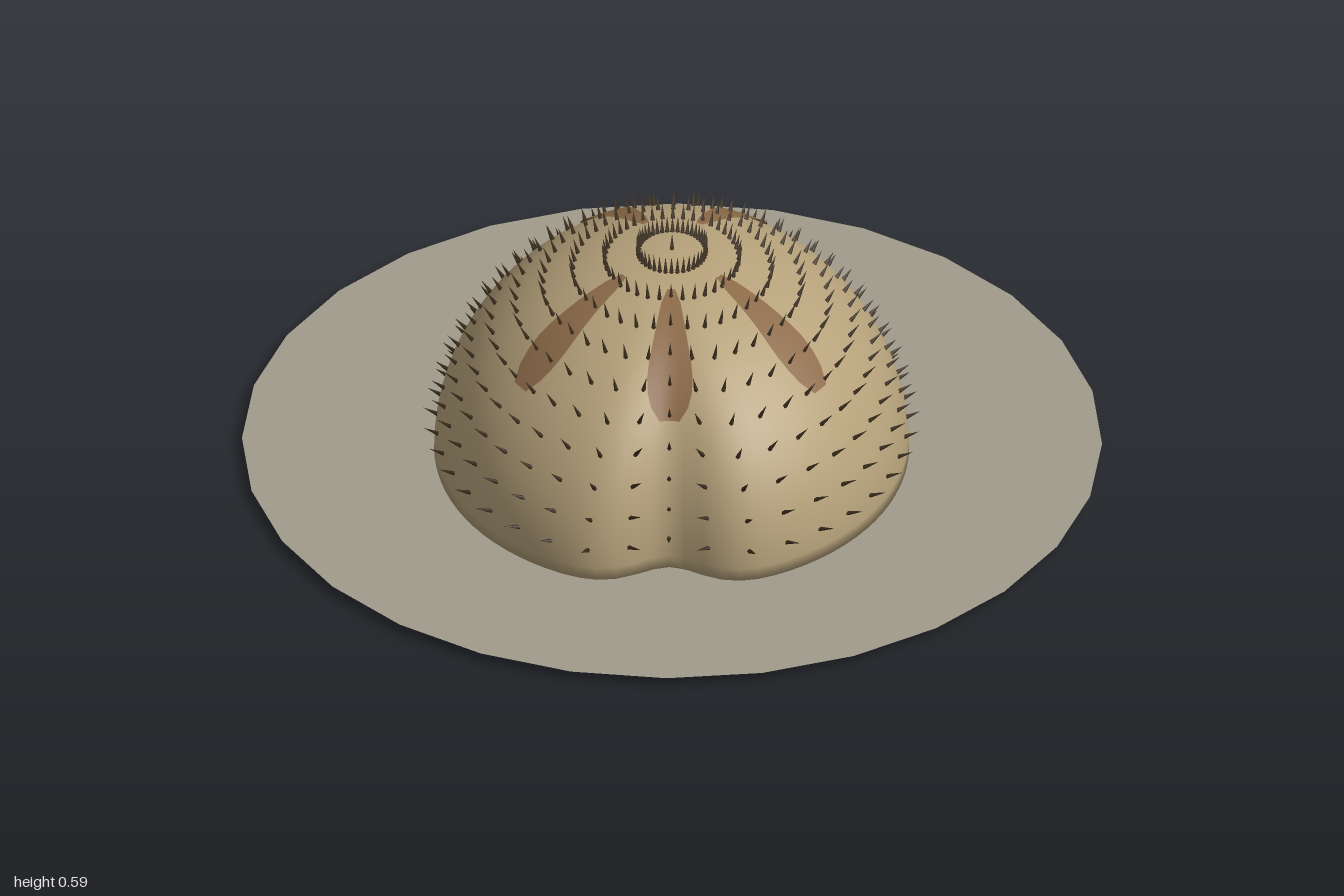
import * as THREE from 'three';
import { mergeGeometries, mergeVertices } from 'three/addons/utils/BufferGeometryUtils.js';

const EQUATOR = 0.045, HEIGHT = 0.513, DEG = Math.PI / 180;

// Plan outline: radius by angle from the front, with a notch at the front
function outline(theta, notch = 1) {
  const t = Math.atan2(Math.sin(theta), Math.cos(theta));
  const dent = 0.095 * notch * Math.exp(-((t / (10 * DEG)) ** 2));
  return 0.5825 + 0.045 * Math.cos(t) + 0.0325 * Math.cos(2 * t) - dent;
}

// Point on the dome; phi is the angle from the apex
function domePoint(theta, phi, lift = 0) {
  const s = Math.sin(phi);
  const r = s * (outline(theta, s) + lift);
  return new THREE.Vector3(r * Math.sin(theta), EQUATOR + (HEIGHT + lift) * Math.cos(phi), r * Math.cos(theta));
}

function domeNormal(theta, phi) {
  const e = 0.01;
  const du = domePoint(theta + e, phi).sub(domePoint(theta - e, phi));
  const dv = domePoint(theta, phi + e).sub(domePoint(theta, phi - e));
  return dv.cross(du).normalize();
}

// Lathed unit profile, stretched to the heart-shaped outline
function shellGeometry() {
  const profile = [[0, 0], [0.4, 0], [0.8, 0], [0.865, 0]].map(p => new THREE.Vector2(...p));
  for (let i = 0; i <= 26; i++) {
    const a = (i / 26) * Math.PI / 2;
    profile.push(new THREE.Vector2(i === 26 ? 0 : Math.cos(a), EQUATOR + HEIGHT * Math.sin(a)));
  }
  let g = new THREE.LatheGeometry(profile, 96, Math.PI);
  const p = g.attributes.position;
  for (let i = 0; i < p.count; i++) {
    const x = p.getX(i), z = p.getZ(i), s = Math.hypot(x, z);
    const k = outline(Math.atan2(x, z), Math.min(1, s));
    p.setXYZ(i, x * k, p.getY(i), z * k);
  }
  g.deleteAttribute('normal');
  g.deleteAttribute('uv');
  g = mergeVertices(g, 1e-5);
  g.computeVertexNormals();
  return g;
}

// Petal patch lying on the dome, widening away from the apex
function petalGeometry(theta) {
  const widths = [0.008, 0.02, 0.026, 0.032, 0.038, 0.044, 0.048, 0.047, 0.04, 0.022];
  const cols = 8, pos = [], idx = [];
  widths.forEach((w, i) => {
    const phi = (14 + 36 * i / (widths.length - 1)) * DEG;
    const spread = w / (Math.sin(phi) * 0.57);
    for (let j = 0; j <= cols; j++) {
      pos.push(...domePoint(theta + spread * (2 * j / cols - 1), phi, 0.005).toArray());
      if (i && j) {
        const d = i * (cols + 1) + j, c = d - 1, b = d - cols - 1, a = b - 1;
        idx.push(a, c, b, b, c, d);
      }
    }
  });
  const g = new THREE.BufferGeometry();
  g.setAttribute('position', new THREE.Float32BufferAttribute(pos, 3));
  g.setIndex(idx);
  g.computeVertexNormals();
  return g;
}

// Rings of short spines swept towards the back
function spinesGeometry() {
  const cone = new THREE.ConeGeometry(0.006, 0.04, 5).translate(0, 0.016, 0);
  const up = new THREE.Vector3(0, 1, 0), one = new THREE.Vector3(1, 1, 1);
  const parts = [];
  const add = (theta, phi) => {
    const dir = domeNormal(theta, phi).add(new THREE.Vector3(0, 0, -0.5)).normalize();
    const q = new THREE.Quaternion().setFromUnitVectors(up, dir);
    parts.push(cone.clone().applyMatrix4(new THREE.Matrix4().compose(domePoint(theta, phi), q, one)));
  };
  const perRing = 42;
  add(0, 0.002);
  for (let k = 1; k <= 10; k++)
    for (let i = 0; i < perRing; i++) add((i / perRing) * Math.PI * 2, k * 8.15 * DEG);
  return mergeGeometries(parts);
}

export function createModel() {
  const shellMat = new THREE.MeshStandardMaterial({ name: 'tan shell', color: 0xb5a17a });
  const petalMat = new THREE.MeshStandardMaterial({ name: 'brown petal', color: 0x8c6a48, side: THREE.DoubleSide });
  const spineMat = new THREE.MeshStandardMaterial({ name: 'dark spine', color: 0x3a2c1c });
  const sandMat = new THREE.MeshStandardMaterial({ name: 'grey sand', color: 0xa09b8c, side: THREE.DoubleSide });

  const model = new THREE.Group();
  model.name = 'heartUrchin';
  const add = (name, geometry, material) => {
    const mesh = new THREE.Mesh(geometry, material);
    mesh.name = name;
    model.add(mesh);
    return mesh;
  };

  add('shell', shellGeometry(), shellMat);
  add('spines', spinesGeometry(), spineMat);
  [0, 48, -48, 153, -153].forEach((a, i) => add('petal' + (i + 1), petalGeometry(a * DEG), petalMat));

  // Flat sand disc
  add('sandDisc', new THREE.CircleGeometry(1, 28).rotateX(-Math.PI / 2).translate(0, 0.022, 0), sandMat);
  return model;
}
